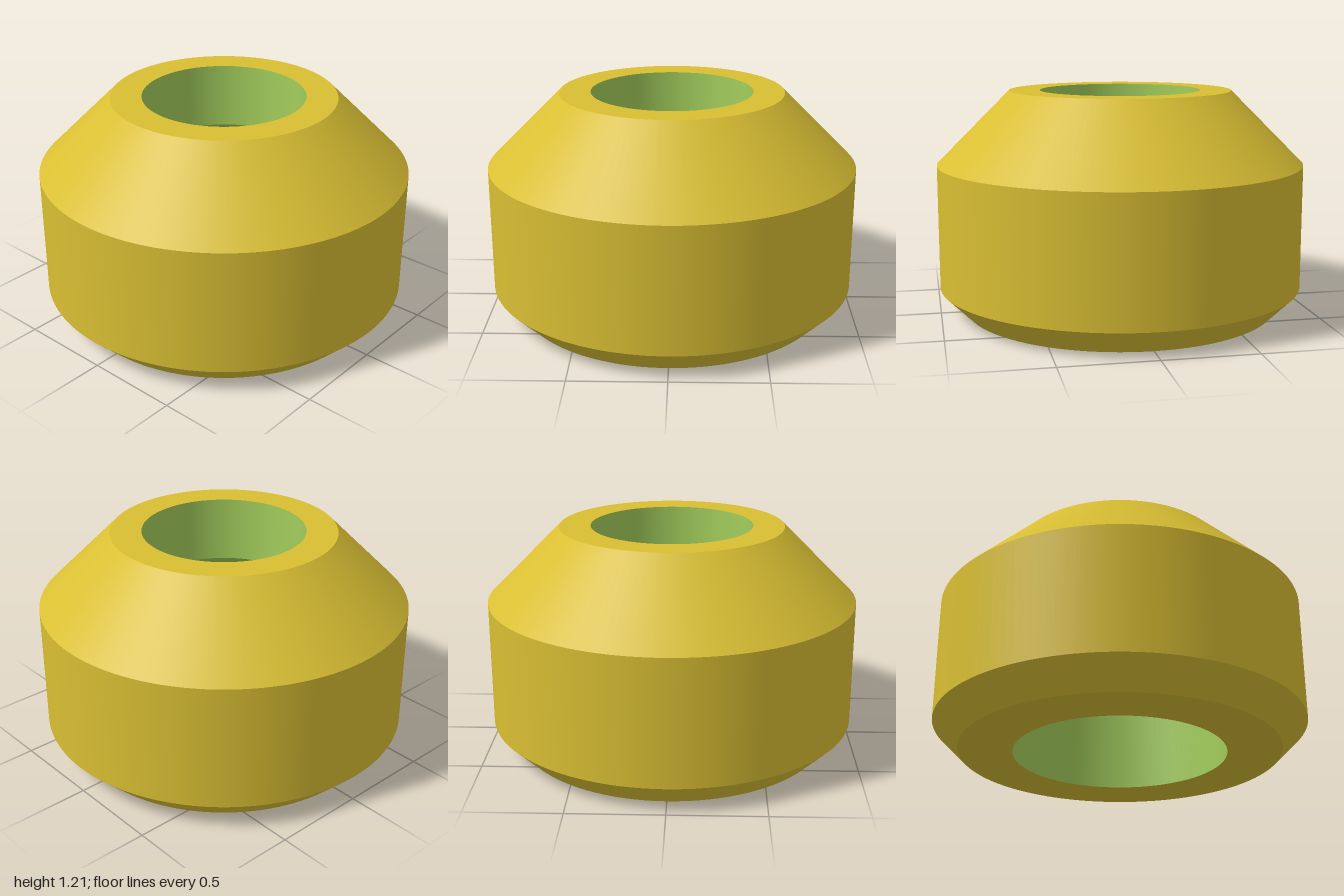
import * as THREE from 'three';

// Surface of revolution through [radius, y] points; each segment is its own
// lathe so the edges between segments stay sharp and the round stays smooth.
function revolve(name, points, material) {
  const group = new THREE.Group();
  group.name = name;
  for (let i = 0; i < points.length - 1; i++) {
    const segment = [points[i], points[i + 1]].map(([r, y]) => new THREE.Vector2(r, y));
    const mesh = new THREE.Mesh(new THREE.LatheGeometry(segment, 128), material);
    mesh.name = `${name}Face${i + 1}`;
    group.add(mesh);
  }
  return group;
}

export function createModel() {
  const gold = new THREE.MeshStandardMaterial({ color: 0xd9bf33 });
  gold.name = 'gold';
  const green = new THREE.MeshStandardMaterial({ color: 0xa2cd5c });
  green.name = 'green';

  const model = new THREE.Group();
  model.name = 'chamferedCollar';

  // Outer body: underside, bottom chamfer, side wall, top cone, top ring
  model.add(revolve('body', [
    [0.57, 0], [0.86, 0], [1, 0.14], [1, 0.815], [0.605, 1.21], [0.437, 1.21],
  ], gold));

  // Bore: narrow upper hole, conical step, wide lower hole
  model.add(revolve('bore', [
    [0.437, 1.21], [0.437, 0.85], [0.57, 0.72], [0.57, 0],
  ], green));

  return model;
}
